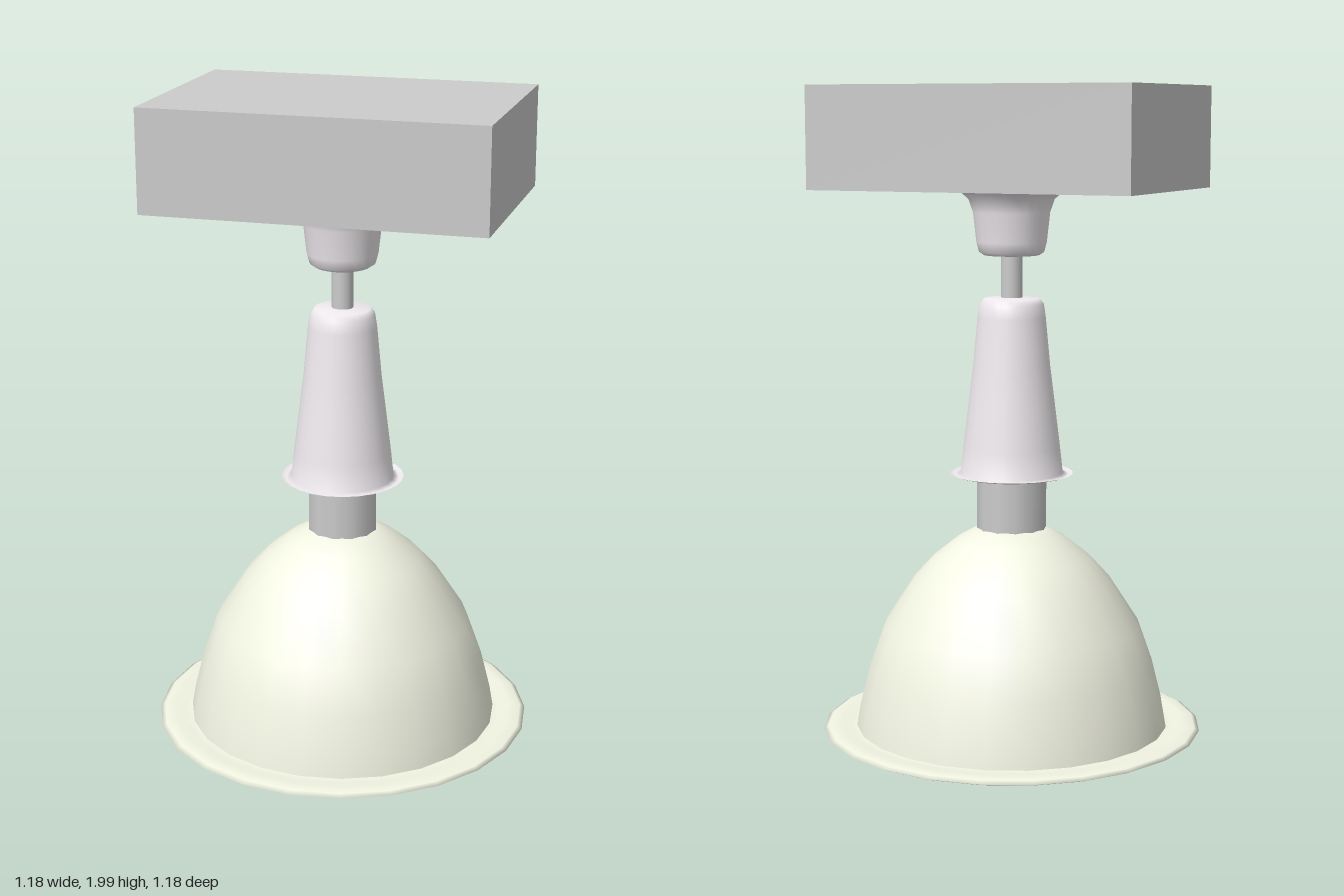
import * as THREE from 'three';

const material = (color, side = THREE.FrontSide) =>
  new THREE.MeshStandardMaterial({ color, side });

// Smooth turned part from [radius, height] pairs, listed from bottom to top
function turned(name, profile, sides, mat) {
  const points = profile.map(([r, y]) => new THREE.Vector2(r, y));
  const mesh = new THREE.Mesh(new THREE.LatheGeometry(points, sides), mat);
  mesh.name = name;
  return mesh;
}

// Plain upright cylinder between two heights
function post(name, radius, bottom, top, sides, mat) {
  const mesh = new THREE.Mesh(new THREE.CylinderGeometry(radius, radius, top - bottom, sides), mat);
  mesh.position.y = (bottom + top) / 2;
  mesh.name = name;
  return mesh;
}

export function createModel() {
  const group = new THREE.Group();
  group.name = 'pendantLamp';

  const grey = material(0xcccccc);
  const enamel = material(0xf1f3e2, THREE.DoubleSide);
  const porcelain = material(0xf0ebef, THREE.DoubleSide);

  // Ceiling block
  const block = new THREE.Mesh(new THREE.BoxGeometry(1.03, 0.31, 0.694), grey);
  block.position.y = 1.845;
  block.name = 'ceilingBlock';
  group.add(block);

  // Flared ceiling cup
  group.add(turned('ceilingCup', [
    [0, 1.49], [0.085, 1.49], [0.1, 1.5], [0.108, 1.53], [0.118, 1.62],
    [0.132, 1.66], [0.158, 1.683], [0.205, 1.689],
  ], 24, porcelain));

  // Stem and lamp neck
  group.add(post('stem', 0.033, 1.34, 1.51, 16, grey));
  group.add(post('neck', 0.108, 0.63, 0.9, 12, grey));

  // Tapered sleeve with a thin flange, open underneath
  group.add(turned('sleeve', [
    [0.19, 0.817], [0.175, 0.812], [0.159, 0.818], [0.15, 0.9], [0.134, 1.03],
    [0.119, 1.15], [0.105, 1.3], [0.099, 1.34], [0.085, 1.358], [0, 1.362],
  ], 24, porcelain));

  // Domed shade
  group.add(turned('shade', [
    [0.487, 0.02], [0.475, 0.09], [0.445, 0.21], [0.399, 0.34], [0.307, 0.482],
    [0.245, 0.55], [0.17, 0.61], [0.105, 0.645], [0, 0.655],
  ], 24, enamel));

  // Shallow rolled rim
  group.add(turned('shadeRim', [
    [0.575, 0.008], [0.59, 0.015], [0.575, 0.023], [0.54, 0.026],
    [0.51, 0.02], [0.485, 0.022],
  ], 24, enamel));

  // Dark opening of the shade
  const opening = new THREE.Mesh(
    new THREE.CircleGeometry(0.5, 24), material(0x050505, THREE.DoubleSide));
  opening.rotation.x = Math.PI / 2;
  opening.position.y = 0.01;
  opening.name = 'shadeOpening';
  group.add(opening);

  return group;
}
